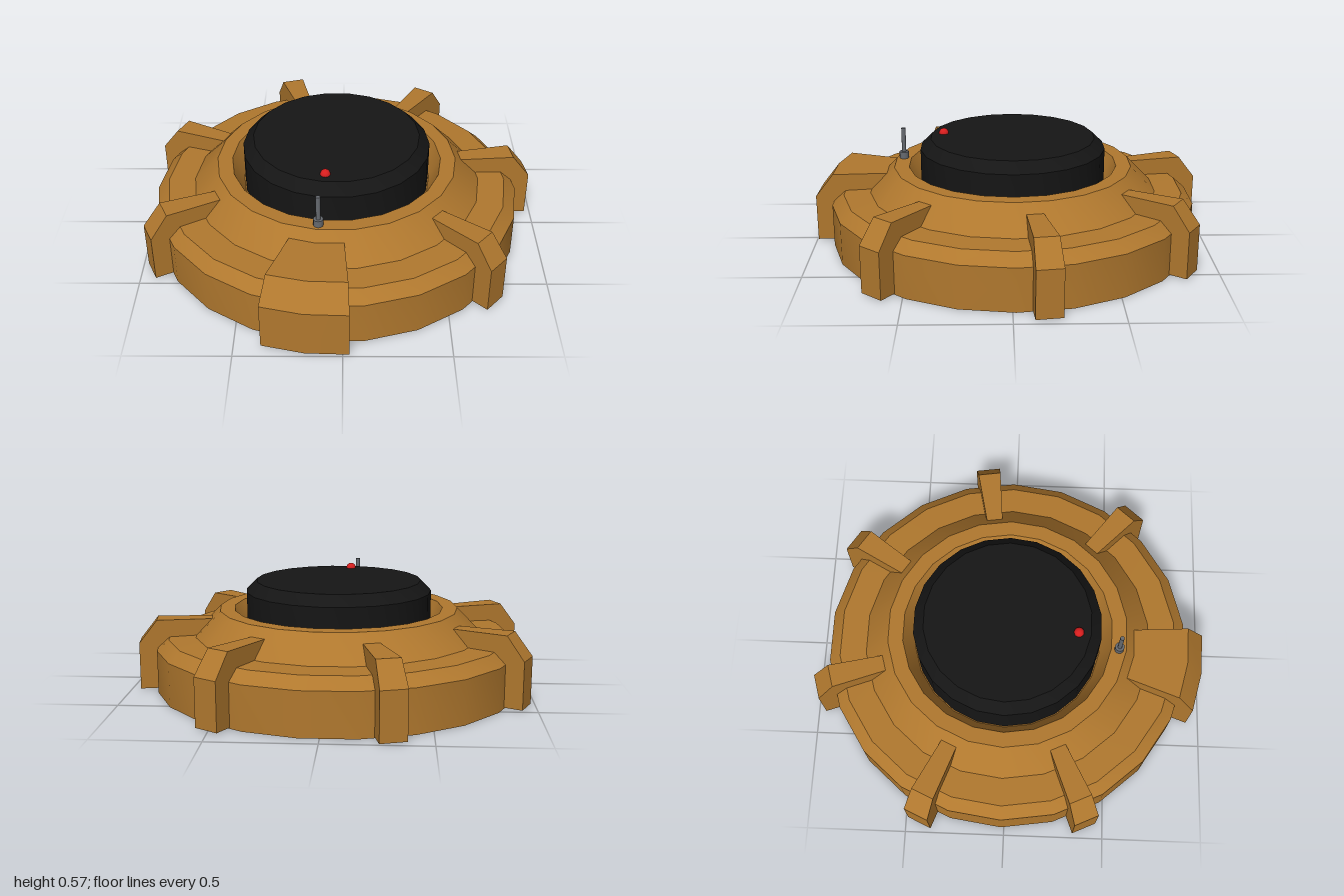
import * as THREE from 'three';
import { toCreasedNormals } from 'three/addons/utils/BufferGeometryUtils.js';

const SIDES = 22;
const CREASE = 0.5;
const rad = THREE.MathUtils.degToRad;

const paint = (color) => new THREE.MeshStandardMaterial({ color });

// Faceted turned part, rotated half a step so a flat side faces front
function turned(profile) {
  const points = profile.map(([r, y]) => new THREE.Vector2(r, y));
  return toCreasedNormals(new THREE.LatheGeometry(points, SIDES, Math.PI / SIDES), CREASE);
}

// Wedge clamp: a radial cross-section swept through an arc about the y axis
function wedge(centreDeg, widthDeg, steps) {
  const section = new THREE.Shape([
    [0.64, 0.005], [1.01, 0.005], [1.01, 0.24], [0.92, 0.355], [0.64, 0.355],
  ].map(([r, y]) => new THREE.Vector2(r, y)));
  const geo = new THREE.ExtrudeGeometry(section, { depth: 1, steps, bevelEnabled: false });
  const p = geo.attributes.position;
  for (let i = 0; i < p.count; i++) {
    const r = p.getX(i);
    const a = rad(centreDeg + widthDeg * (0.5 - p.getZ(i)));
    p.setXYZ(i, r * Math.sin(a), p.getY(i), r * Math.cos(a));
  }
  return toCreasedNormals(geo, CREASE);
}

export function createModel() {
  const model = new THREE.Group();
  model.name = 'discDevice';
  model.position.set(-0.035, 0, -0.015);

  const bronze = paint(0xb0782e);
  const black = paint(0x151515);
  const steel = paint(0x666a70);
  const red = paint(0xd81e1e);

  function add(name, geometry, material, x = 0, y = 0, z = 0) {
    const mesh = new THREE.Mesh(geometry, material);
    mesh.name = name;
    mesh.position.set(x, y, z);
    model.add(mesh);
  }

  // Stepped body with a sunken gutter around the centre
  add('body', turned([
    [0, 0], [0.925, 0], [0.925, 0.215], [0.865, 0.268], [0.73, 0.272],
    [0.605, 0.4], [0.53, 0.4], [0.475, 0.29], [0, 0.29],
  ]), bronze);

  // Central black cap with a chamfered rim
  add('centreCap', turned([[0.47, 0.27], [0.47, 0.488], [0.417, 0.54], [0, 0.54]]), black);

  // One wide clamp at the front, six narrow ones around the rest
  add('wideClamp', wedge(-8, 23.4, 2), bronze);
  for (let i = 0; i < 6; i++) {
    add(`narrowClamp${i + 1}`, wedge(49.2 + 49.1 * i, 7.3, 1), bronze);
  }

  // Short aerial on the rim and indicator light on the cap
  add('aerialBase', new THREE.CylinderGeometry(0.024, 0.024, 0.04, 12), steel, -0.08, 0.415, 0.562);
  add('aerialRod', new THREE.CylinderGeometry(0.011, 0.011, 0.14, 12), steel, -0.08, 0.49, 0.562);
  add('indicatorLight', new THREE.SphereGeometry(0.025, 16, 12), red, -0.05, 0.542, 0.352);

  // Outer group keeps the body's offset inside the returned model
  const root = new THREE.Group();
  root.add(model);
  return root;
}
